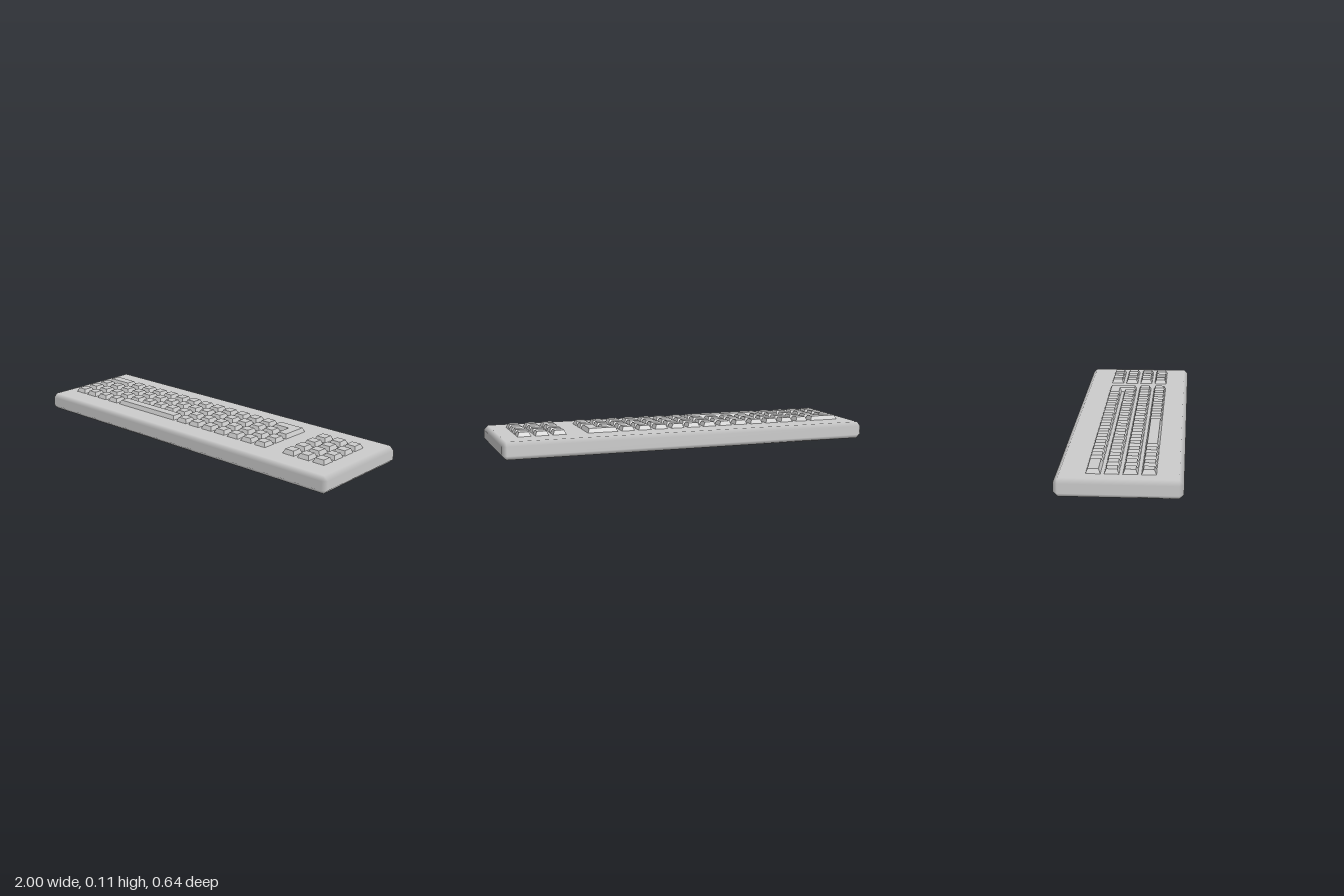
import * as THREE from 'three';
import { ConvexGeometry } from 'three/addons/geometries/ConvexGeometry.js';

const HALF = [0.994, 0.0455, 0.3]; // half sizes of the case
const BEVEL = 0.022;
const DECK = 0.091, KEY_TOP = 0.1135, KEY_HALF = 0.035, KEY_INSET = 0.0095;
const colX = (c) => -0.877 + 0.0913 * c;
const rowZ = (r) => -0.121 + 0.0862 * r;

// Box with softened bevels: flat faces, normals blending only across the bevels
function bevelledBox() {
  const points = [];
  for (let axis = 0; axis < 3; axis++)
    for (const sx of [-1, 1]) for (const sy of [-1, 1]) for (const sz of [-1, 1])
      points.push(new THREE.Vector3(...[sx, sy, sz].map((s, i) => s * (HALF[i] - (i === axis ? 0 : BEVEL)))));
  const geo = new ConvexGeometry(points);
  const pos = geo.attributes.position, nor = geo.attributes.normal;
  for (let i = 0; i < pos.count; i++) {
    const p = [pos.getX(i), pos.getY(i), pos.getZ(i)];
    nor.setXYZ(i, ...p.map((v, a) => (Math.abs(v) > HALF[a] - BEVEL / 2 ? Math.sign(v) : 0)));
  }
  return geo;
}

// Tapered keycap from a counter-clockwise outline in (x, -z)
function keycap(outline) {
  const n = outline.length;
  const inward = outline.map((p, i) => {
    const d = outline[(i + 1) % n].clone().sub(p).normalize();
    return new THREE.Vector2(-d.y, d.x);
  });
  const top = outline.map((p, i) =>
    p.clone().addScaledVector(inward[i], KEY_INSET).addScaledVector(inward[(i + n - 1) % n], KEY_INSET));
  const verts = [];
  const low = (i) => verts.push(outline[i].x, DECK - 0.001, -outline[i].y);
  const high = (i) => verts.push(top[i].x, KEY_TOP, -top[i].y);
  for (let i = 0; i < n; i++) {
    const j = (i + 1) % n;
    low(i); low(j); high(j);
    low(i); high(j); high(i);
  }
  THREE.ShapeUtils.triangulateShape(top, []).forEach((tri) => tri.forEach(high));
  const geo = new THREE.BufferGeometry();
  geo.setAttribute('position', new THREE.Float32BufferAttribute(verts, 3));
  geo.computeVertexNormals();
  return geo;
}

export function createModel() {
  const model = new THREE.Group();
  model.name = 'keyboard';
  const board = new THREE.Group();
  board.name = 'board';
  board.rotation.y = -0.02; // sits slightly turned
  model.add(board);

  const material = new THREE.MeshStandardMaterial({ color: 0xcccccc });
  const keyMaterial = new THREE.MeshStandardMaterial({ color: 0xcccccc, flatShading: true });

  const body = new THREE.Mesh(bevelledBox(), material);
  body.name = 'case';
  body.position.y = HALF[1];
  board.add(body);

  const mainKeys = new THREE.Group();
  mainKeys.name = 'mainKeys';
  const numberPad = new THREE.Group();
  numberPad.name = 'numberPad';
  board.add(mainKeys, numberPad);

  const addKey = (group, name, outline) => {
    const key = new THREE.Mesh(keycap(outline.map(([x, z]) => new THREE.Vector2(x, -z))), keyMaterial);
    key.name = name;
    group.add(key);
  };
  // Rectangular key spanning columns c0 to c1 in row r
  const addRect = (group, name, r, c0, c1 = c0) => {
    const l = colX(c0) - KEY_HALF, rt = colX(c1) + KEY_HALF;
    const b = rowZ(r) - KEY_HALF, f = rowZ(r) + KEY_HALF;
    addKey(group, name, [[l, f], [rt, f], [rt, b], [l, b]]);
  };
  const addRun = (group, r, from, to) => {
    for (let c = from; c <= to; c++) addRect(group, 'key', r, c);
  };

  // Main block, back row to front row
  addRect(mainKeys, 'wideKey', 0, 0, 1);
  addRun(mainKeys, 0, 2, 13);
  addRun(mainKeys, 1, 0, 14);
  addRun(mainKeys, 2, 0, 15);
  addRun(mainKeys, 3, 0, 3);
  addRect(mainKeys, 'spaceBar', 3, 4, 8);
  addRun(mainKeys, 3, 9, 15);

  // L-shaped enter key in the back right corner
  const left = colX(14) - KEY_HALF, inner = colX(15) - KEY_HALF, right = colX(15) + KEY_HALF;
  const back = rowZ(0) - KEY_HALF, mid = rowZ(0) + KEY_HALF, front = rowZ(1) + KEY_HALF;
  addKey(mainKeys, 'enterKey',
    [[left, mid], [inner, mid], [inner, front], [right, front], [right, back], [left, back]]);

  // Number pad
  for (let r = 0; r < 4; r++) addRun(numberPad, r, 17, 19);

  return model;
}
